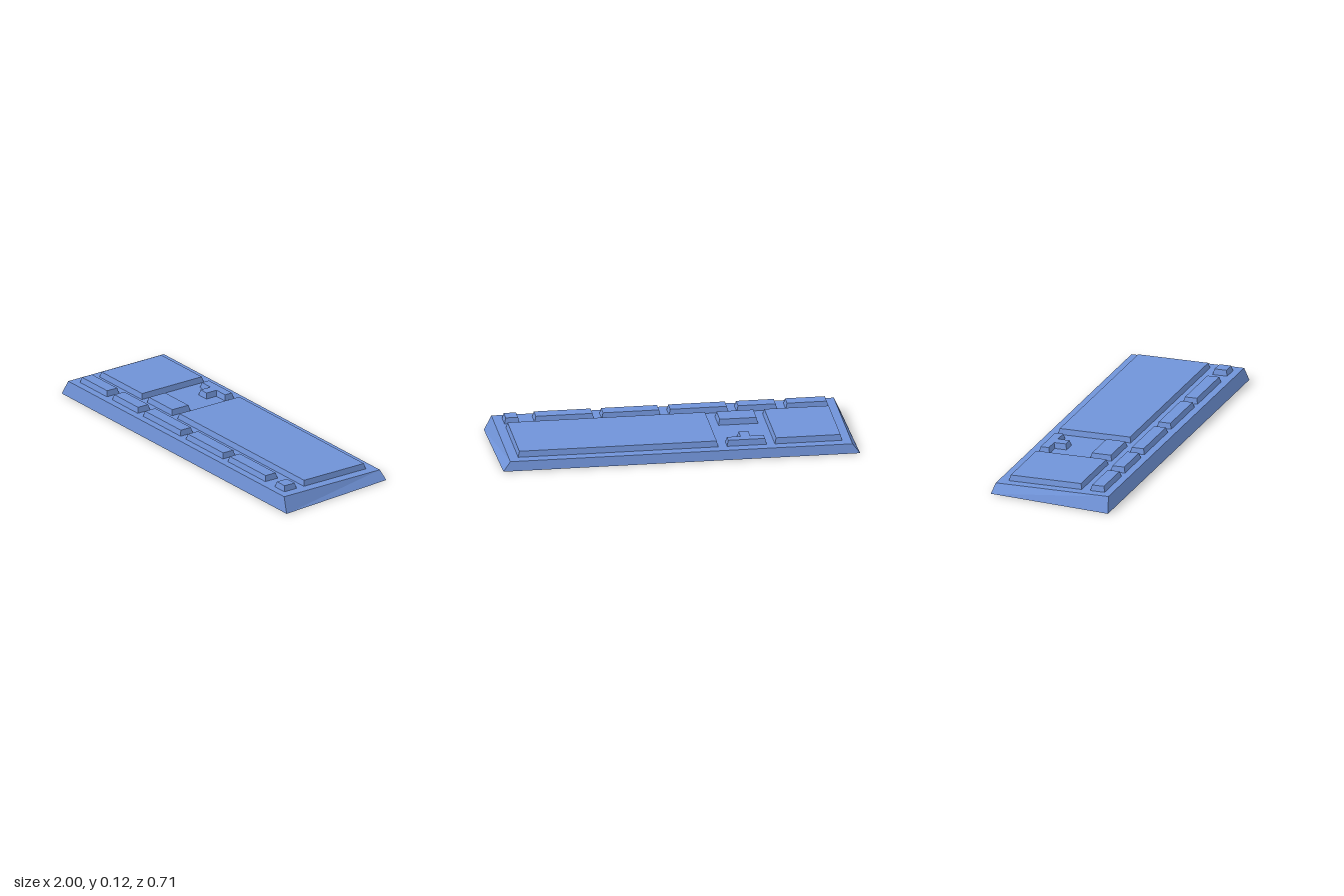
import * as THREE from 'three';

const deckY = (z) => 0.069 + 0.05 * z; // sloping top of the case
const KEY_RISE = 0.032;

// Tapered solid from a right-angled outline of [x, z] points,
// listed front-left, front-right, back-right, back-left.
function taperedBlock(outline, insetX, insetZ, baseY, topY) {
  const n = outline.length;
  const inward = outline.map(([x, z], i) => {
    const [qx, qz] = outline[(i + 1) % n];
    return [Math.sign(qz - z), -Math.sign(qx - x)];
  });
  const bottom = outline.map(([x, z]) => [x, baseY(z), z]);
  const top = outline.map(([x, z], i) => {
    const a = inward[(i + n - 1) % n], b = inward[i];
    const tx = x + (a[0] + b[0]) * insetX;
    const tz = z + (a[1] + b[1]) * insetZ;
    return [tx, topY(tz), tz];
  });

  const positions = [];
  const tri = (a, b, c) => positions.push(...a, ...b, ...c);
  for (let i = 0; i < n; i++) {
    const j = (i + 1) % n;
    tri(bottom[i], bottom[j], top[j]);
    tri(bottom[i], top[j], top[i]);
  }
  const contour = outline.map(([x, z]) => new THREE.Vector2(x, -z));
  for (const [a, b, c] of THREE.ShapeUtils.triangulateShape(contour, [])) {
    tri(top[a], top[b], top[c]);
    tri(bottom[c], bottom[b], bottom[a]);
  }
  const geometry = new THREE.BufferGeometry();
  geometry.setAttribute('position', new THREE.Float32BufferAttribute(positions, 3));
  geometry.computeVertexNormals();
  return geometry;
}

const rect = (x0, x1, zBack, zFront) => [[x0, zFront], [x1, zFront], [x1, zBack], [x0, zBack]];

export function createModel() {
  const model = new THREE.Group();
  model.name = 'keyboard';
  const blue = new THREE.MeshStandardMaterial({ color: 0x7093d8 });
  blue.name = 'blue';

  const add = (name, geometry) => {
    const mesh = new THREE.Mesh(geometry, blue);
    mesh.name = name;
    model.add(mesh);
  };
  const addKeys = (name, outline) =>
    add(name, taperedBlock(outline, 0.008, 0.008, deckY, (z) => deckY(z) + KEY_RISE));

  // Wedge-shaped case
  add('case', taperedBlock(rect(-1, 1, -0.353, 0.353), 0.04, 0.014, () => 0, deckY));

  // Large key blocks
  addKeys('numberPad', rect(-0.91, -0.533, -0.282, 0.157));
  addKeys('mainKeys', rect(-0.216, 0.907, -0.282, 0.157));
  addKeys('navigationKeys', rect(-0.487, -0.265, 0.027, 0.157));

  // T-shaped arrow cluster
  addKeys('arrowKeys', [
    [-0.411, -0.147], [-0.341, -0.147], [-0.341, -0.217], [-0.265, -0.217],
    [-0.265, -0.282], [-0.487, -0.282], [-0.487, -0.217], [-0.411, -0.217],
  ]);

  // Row of function key groups
  const row = [[-0.91, -0.671], [-0.623, -0.396], [-0.349, -0.016],
    [0.031, 0.361], [0.404, 0.738], [0.822, 0.907]];
  row.forEach(([x0, x1], i) => addKeys(`functionKeys${i + 1}`, rect(x0, x1, 0.208, 0.295)));

  return model;
}
